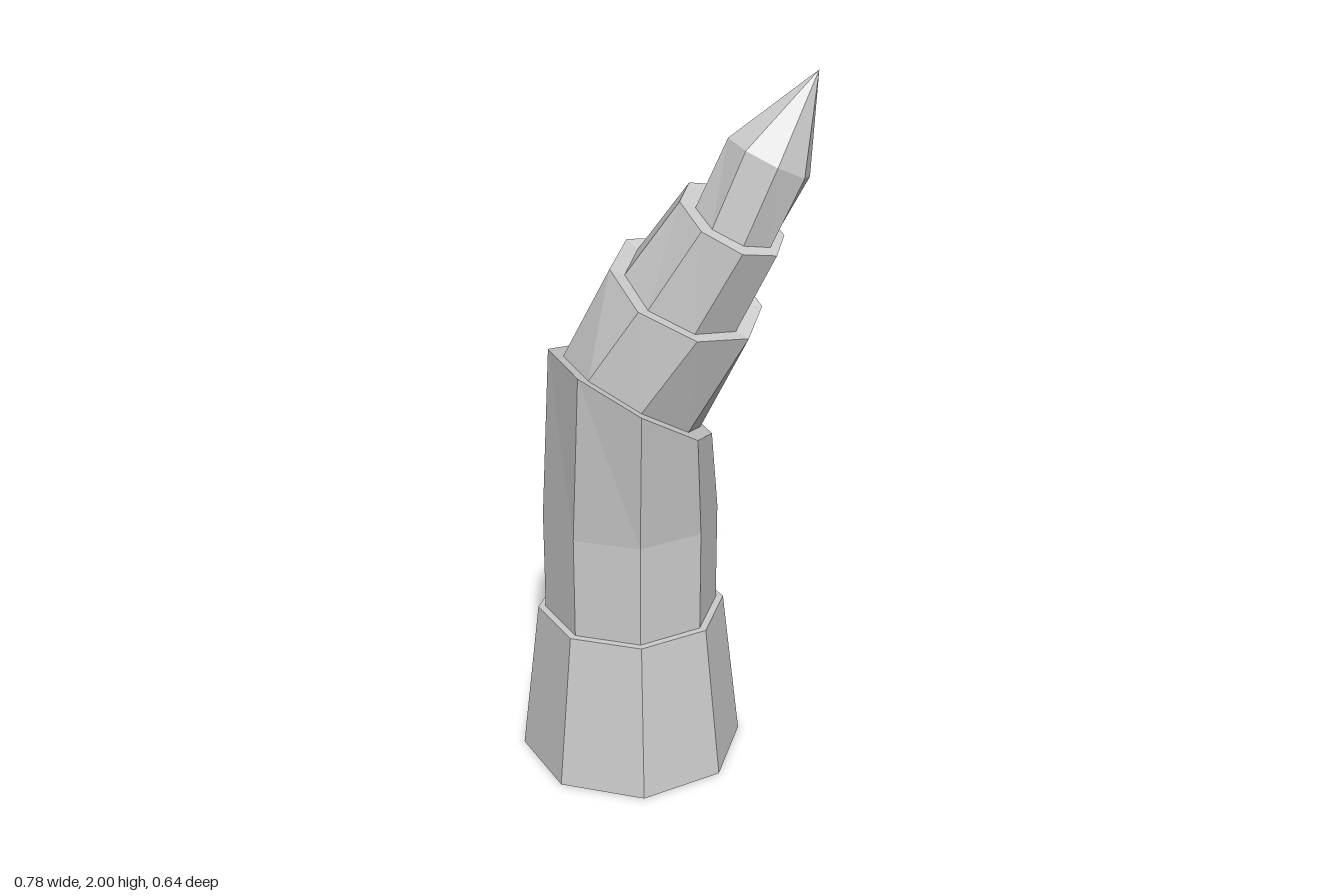
import * as THREE from 'three';

const SIDES = 8;

// Octagonal cross-section: centre, radii along x and z, and the tilt of its plane (dy/dx, dy/dz)
const ring = (x, y, z, rx, rz = rx, sx = 0, sz = 0) =>
  Array.from({ length: SIDES }, (_, i) => {
    const a = (i / SIDES) * Math.PI * 2;
    const dx = rx * Math.cos(a), dz = rz * Math.sin(a);
    return new THREE.Vector3(x + dx, y + sx * dx + sz * dz, z + dz);
  });

// Skins consecutive rings with faceted quads
function loft(name, rings, material) {
  const points = [];
  for (let r = 0; r < rings.length - 1; r++) {
    const lo = rings[r], hi = rings[r + 1];
    for (let i = 0; i < SIDES; i++) {
      const j = (i + 1) % SIDES;
      points.push(lo[i], hi[i], hi[j], lo[i], hi[j], lo[j]);
    }
  }
  const geometry = new THREE.BufferGeometry().setFromPoints(points);
  geometry.computeVertexNormals();
  const mesh = new THREE.Mesh(geometry, material);
  mesh.name = name;
  return mesh;
}

export function createModel() {
  const group = new THREE.Group();
  group.name = 'segmentedHorn';
  const material = new THREE.MeshStandardMaterial({ color: 0xcccccc, flatShading: true });

  // Inner rings where each segment emerges from the rim below it
  const trunkFoot = ring(-0.067, 0.455, 0, 0.247);
  const lowerFoot = ring(-0.065, 1.13, 0.058, 0.185, 0.21, -0.6, 0.11);
  const upperFoot = ring(0.07, 1.43, 0.11, 0.16, 0.165, -0.29, -0.39);
  const tipFoot = ring(0.19, 1.625, 0.16, 0.105, 0.112, -0.35, -0.3);

  const segments = {
    // Flared foot with a flat underside
    base: [
      ring(-0.067, 0, 0, 0),
      ring(-0.067, 0, 0, 0.322),
      ring(-0.067, 0.455, 0, 0.268),
      trunkFoot,
    ],
    // Upright part ending in a slanted rim
    trunk: [
      trunkFoot,
      ring(-0.067, 0.75, 0, 0.247),
      ring(-0.069, 1.13, 0.058, 0.221, 0.25, -0.6, 0.11),
      lowerFoot,
    ],
    // Leaning segments
    lowerSegment: [
      lowerFoot,
      ring(0.07, 1.438, 0.12, 0.2, 0.197, -0.29, -0.39),
      upperFoot,
    ],
    upperSegment: [
      upperFoot,
      ring(0.18, 1.63, 0.158, 0.135, 0.157, -0.36, -0.3),
      tipFoot,
    ],
    // Pointed end
    tip: [
      tipFoot,
      ring(0.27, 1.785, 0.16, 0.105, 0.114, -0.5, 0),
      ring(0.388, 2, 0.16, 0),
    ],
  };

  for (const [name, rings] of Object.entries(segments)) group.add(loft(name, rings, material));
  return group;
}
